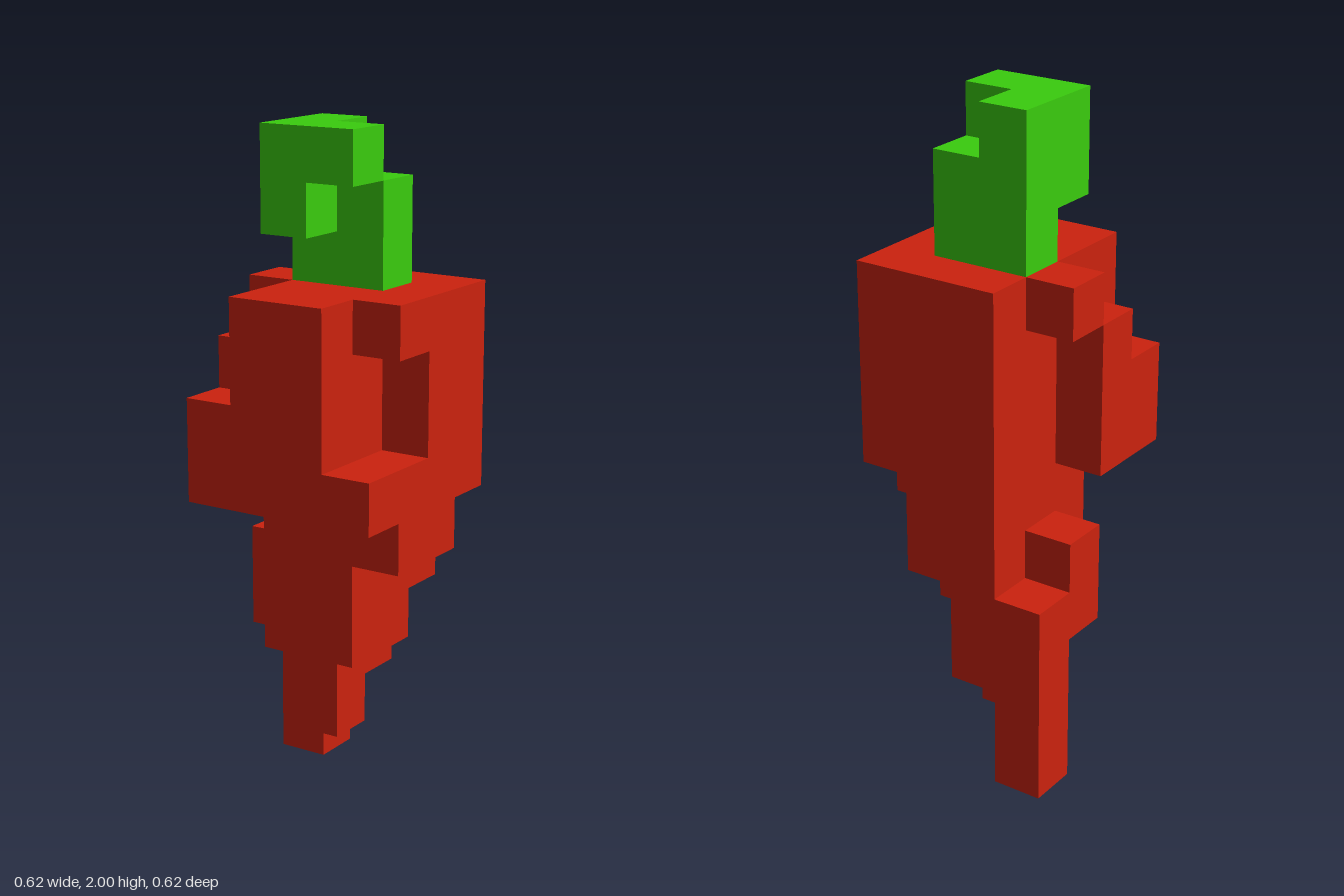
import * as THREE from 'three';

// One block edge: the model is 13 blocks tall.
const U = 2 / 13;

export function createModel() {
  const model = new THREE.Group();
  model.name = 'blockCarrot';

  const red = new THREE.MeshStandardMaterial({ color: 0xcc220e });
  red.name = 'rootRed';
  const green = new THREE.MeshStandardMaterial({ color: 0x3acc0e });
  green.name = 'leafGreen';

  const root = new THREE.Group();
  root.name = 'root';
  const leaf = new THREE.Group();
  leaf.name = 'leaf';
  model.add(root, leaf);

  // Adds a box spanning the given ranges, in block units.
  function block(parent, material, name, [x0, x1], [y0, y1], [z0, z1]) {
    const geometry = new THREE.BoxGeometry((x1 - x0) * U, (y1 - y0) * U, (z1 - z0) * U);
    const mesh = new THREE.Mesh(geometry, material);
    mesh.name = name;
    mesh.position.set((x0 + x1) / 2 * U, (y0 + y1) / 2 * U, (z0 + z1) / 2 * U);
    parent.add(mesh);
  }

  const rootBlocks = [
    // Broad upper body
    ['upperCore', [-1, 1], [6, 10], [-2, 2]],
    ['leftFlank', [1, 2], [6, 10], [-2, 0]],
    ['leftTopKnob', [1, 2], [9, 10], [0, 1]],
    ['leftLedge', [1, 2], [6, 7], [0, 2]],
    ['rightFlank', [-2, -1], [6, 9], [0, 1]],
    ['rightFrontStep', [-2, -1], [6, 8], [1, 2]],
    ['rightTopKnob', [-2, -1], [9, 10], [-1, 0]],
    // Tapering middle
    ['middleCore', [-1, 1], [3, 6], [-1, 1]],
    ['middleLeftStep', [1, 2], [5, 6], [-1, 1]],
    ['backRidge', [-1, 0], [2, 6], [-2, -1]],
    ['backRidgeStep', [0, 1], [4, 6], [-2, -1]],
    ['middleRightKnob', [-2, -1], [3, 5], [-1, 0]],
    // Stepped tip
    ['tipStep', [-1, 0], [1, 3], [-1, 0]],
    ['tip', [-2, -1], [0, 4], [-2, -1]],
  ];
  rootBlocks.forEach((b) => block(root, red, ...b));

  const leafBlocks = [
    // Stalk with a forward hook on top
    ['stalk', [-1, 1], [10, 12], [-1, 0]],
    ['stalkTop', [-1, 0], [12, 13], [-1, 0]],
    ['hook', [-1, 0], [11, 13], [0, 1]],
    ['hookEnd', [0, 1], [12, 13], [0, 1]],
  ];
  leafBlocks.forEach((b) => block(leaf, green, ...b));

  return model;
}
